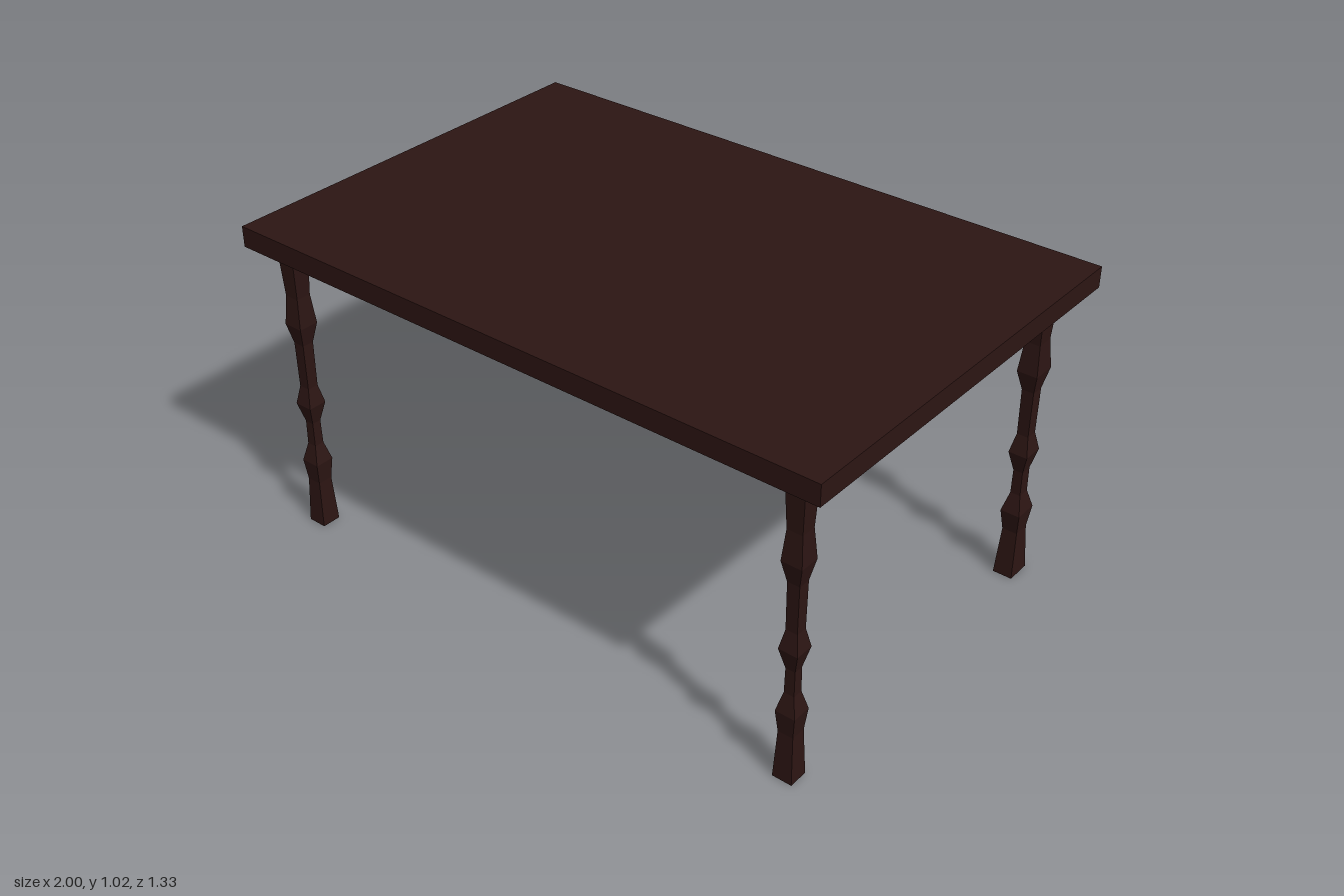
import * as THREE from 'three';

const wood = new THREE.MeshStandardMaterial({ color: 0x2c1513, flatShading: true });

// Leg profile: height, half width in x, half depth in z (front leg), half depth in z (back leg)
const PROFILE = [
  [0.00, 0.031, 0.031, 0.041],
  [0.155, 0.024, 0.024, 0.027],
  [0.225, 0.031, 0.031, 0.039],
  [0.285, 0.016, 0.016, 0.020],
  [0.365, 0.015, 0.015, 0.020],
  [0.43, 0.030, 0.030, 0.035],
  [0.49, 0.018, 0.018, 0.020],
  [0.64, 0.019, 0.019, 0.021],
  [0.705, 0.032, 0.032, 0.039],
  [0.80, 0.024, 0.024, 0.028],
  [0.957, 0.031, 0.031, 0.041],
];

// Square-section turned leg: a segmented box whose rows follow the profile
function legGeometry(depthColumn) {
  const rows = PROFILE.length - 1;
  const geometry = new THREE.BoxGeometry(2, rows, 2, 1, rows, 1);
  const p = geometry.attributes.position;
  for (let i = 0; i < p.count; i++) {
    const row = PROFILE[Math.round(p.getY(i) + rows / 2)];
    p.setXYZ(i, p.getX(i) * row[1], row[0], p.getZ(i) * row[depthColumn]);
  }
  geometry.computeVertexNormals();
  return geometry;
}

export function createModel() {
  const table = new THREE.Group();
  table.name = 'table';

  // Plain slab top
  const top = new THREE.Mesh(new THREE.BoxGeometry(2, 0.065, 1.325), wood);
  top.name = 'tableTop';
  top.position.y = 0.9875;
  table.add(top);

  // Two front legs and two deeper back legs
  const pairs = [
    { name: 'front', z: 0.579, geometry: legGeometry(2) },
    { name: 'back', z: -0.548, geometry: legGeometry(3) },
  ];
  for (const { name, z, geometry } of pairs) {
    for (const side of [1, -1]) {
      const leg = new THREE.Mesh(geometry, wood);
      leg.name = name + (side > 0 ? 'LeftLeg' : 'RightLeg');
      leg.position.set(side * 0.893, 0, z);
      table.add(leg);
    }
  }
  return table;
}
